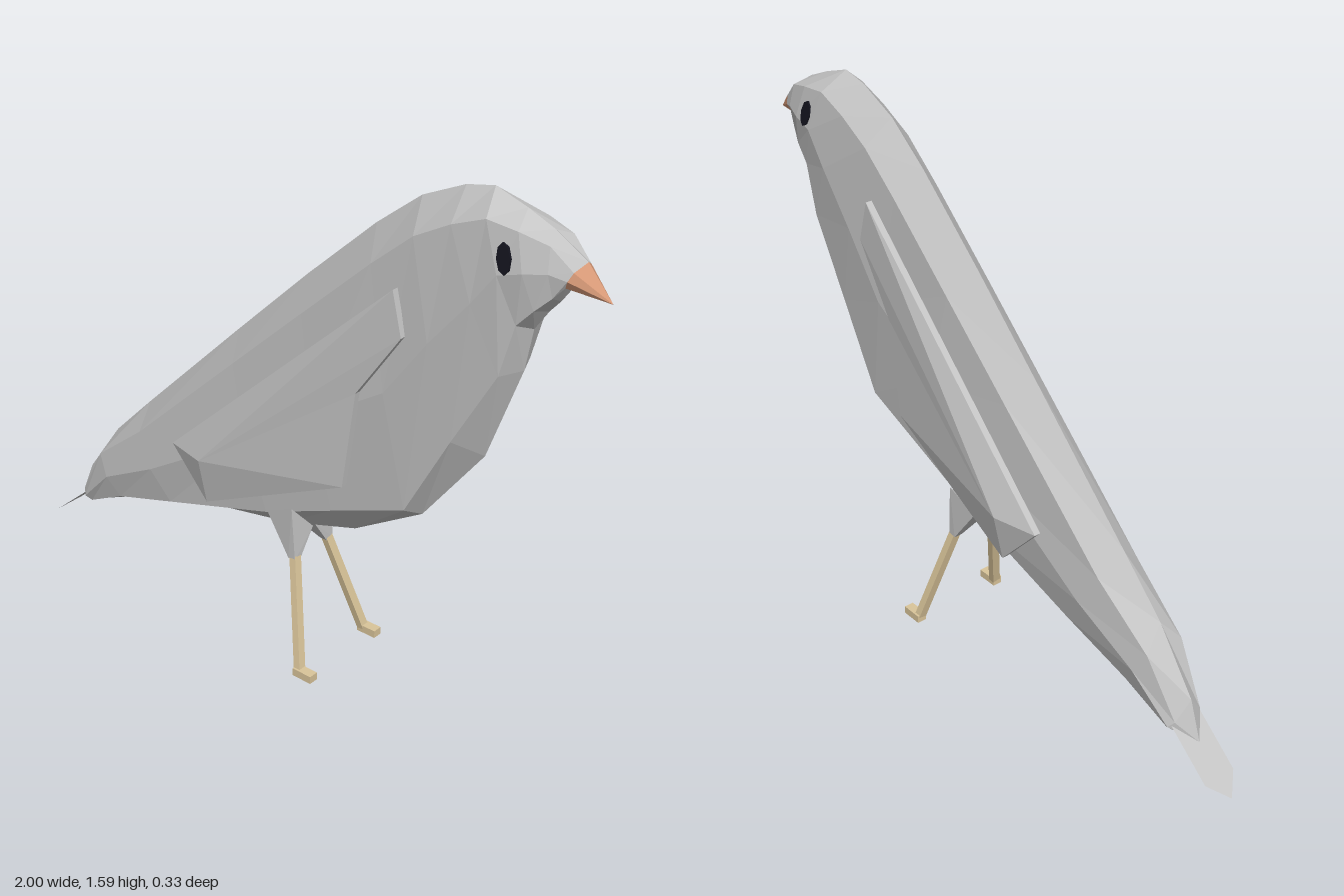
import * as THREE from 'three';
import { ConvexGeometry } from 'three/addons/geometries/ConvexGeometry.js';

const mat = (name, color, side = THREE.FrontSide) => {
  const m = new THREE.MeshStandardMaterial({ color, flatShading: true, side });
  m.name = name;
  return m;
};

// Faceted geometry from a list of triangles of [x, y, z] corners
function faceted(tris) {
  const same = (a, b) => a.every((v, i) => v === b[i]);
  const kept = tris.filter(([a, b, c]) => !same(a, b) && !same(b, c) && !same(c, a));
  const g = new THREE.BufferGeometry();
  g.setAttribute('position', new THREE.Float32BufferAttribute(kept.flat(2), 3));
  g.computeVertexNormals();
  return g;
}

// Skin a series of rings running towards +x
function loft(rings) {
  const tris = [];
  for (let i = 0; i < rings.length - 1; i++) {
    const a = rings[i], b = rings[i + 1];
    for (let j = 0; j < a.length; j++) {
      const k = (j + 1) % a.length;
      tris.push([a[j], a[k], b[j]], [b[j], a[k], b[k]]);
    }
  }
  return faceted(tris);
}

const flip = ([x, y, z]) => [x, y, -z];
const point = (x, y) => Array.from({ length: 8 }, () => [x, y, 0]);

// Eight-sided section: crown, shoulder, flank, lower edge and keel, mirrored in z.
// The flank lies halfway between shoulder and lower edge at the full half width w.
function section([w, crown, s, l, keel]) {
  const side = [
    [...s, 0.79 * w],
    [(s[0] + l[0]) / 2, (s[1] + l[1]) / 2, w],
    [...l, 0.77 * w],
  ];
  return [[...crown, 0], ...side, [...keel, 0], ...side.map(flip).reverse()];
}

// Half width, crown, shoulder, lower edge and keel from tail to beak
const bodySections = [
  [0.06, [-0.83, 0.26], [-0.82, 0.2], [-0.79, 0.165], [-0.77, 0.16]],
  [0.08, [-0.70, 0.44], [-0.72, 0.37], [-0.64, 0.245], [-0.62, 0.225]],
  [0.092, [-0.55, 0.59], [-0.53, 0.52], [-0.41, 0.32], [-0.47, 0.29]],
  [0.094, [-0.18, 0.95], [-0.14, 0.88], [-0.02, 0.44], [0, 0.38]],
  [0.095, [0.07, 1.19], [0.11, 1.11], [0.22, 0.54], [0.25, 0.46]],
  [0.095, [0.30, 1.40], [0.34, 1.32], [0.47, 0.64], [0.48, 0.60]],
  [0.095, [0.44, 1.51], [0.47, 1.43], [0.61, 0.90], [0.67, 0.85]],
  [0.092, [0.57, 1.57], [0.58, 1.49], [0.74, 1.13], [0.77, 1.13]],
  [0.09, [0.655, 1.588], [0.68, 1.53], [0.78, 1.28], [0.79, 1.25]],
  [0.085, [0.75, 1.556], [0.77, 1.52], [0.825, 1.33], [0.83, 1.31]],
  [0.066, [0.83, 1.522], [0.85, 1.50], [0.865, 1.37], [0.86, 1.345]],
  [0.048, [0.925, 1.465], [0.91, 1.445], [0.89, 1.40], [0.89, 1.39]],
].map(section);

// Thin wing with a bulge near its rear
function wingGeometry() {
  const rim = [
    [0.435, 1.285, 0.104], [-0.334, 0.577, 0.128], [-0.2, 0.43, 0.13],
    [0.29, 0.66, 0.113], [0.33, 0.96, 0.113], [0.467, 1.16, 0.106],
  ];
  const bulge = [-0.2, 0.58, 0.162];
  const inner = ([x, y, z]) => [x, y, z - 0.02];
  const tris = [];
  rim.forEach((p, i) => {
    const q = rim[(i + 1) % rim.length];
    const pi = inner(p), qi = inner(q);
    tris.push([bulge, p, q], [inner(bulge), qi, pi], [p, pi, qi], [p, qi, q]);
  });
  return faceted(tris);
}

export function createModel() {
  const bird = new THREE.Group();
  bird.name = 'bird';
  const grey = mat('plumage grey', 0xc4c4c4);
  const tailGrey = mat('tail grey', 0xc4c4c4, THREE.DoubleSide);
  const orange = mat('beak orange', 0xd89a78);
  const tan = mat('leg tan', 0xdac59a);
  const black = mat('eye black', 0x14141e);

  const add = (parent, name, geometry, material) => {
    const mesh = new THREE.Mesh(geometry, material);
    mesh.name = name;
    parent.add(mesh);
    return mesh;
  };

  add(bird, 'body', loft([point(-0.87, 0.14), ...bodySections]), grey);
  add(bird, 'beak', loft([bodySections.at(-1), point(1, 1.378)]), orange);

  // Flat tail feather sloping down behind the body
  const a = [-0.80, 0.20, 0.053], b = [-0.95, 0.072, 0.053], tip = [-1, 0.033, 0];
  add(bird, 'tail', faceted([[a, flip(a), b], [b, flip(a), flip(b)], [b, flip(b), tip]]), tailGrey);

  // Paired parts
  for (const side of [1, -1]) {
    const half = new THREE.Group();
    half.name = side > 0 ? 'rightSide' : 'leftSide';
    half.scale.z = side;
    bird.add(half);

    add(half, 'wing', wingGeometry(), grey);

    const eye = add(half, 'eye', new THREE.CylinderGeometry(1, 1, 0.009, 8).rotateX(Math.PI / 2)
      .scale(0.02, 0.04, 1), black);
    eye.position.set(0.745, 1.45, 0.0835);
    eye.rotation.set(-0.16, 0, 0.2);

    // Feathered thigh narrowing to the leg
    const thigh = [
      [-0.01, 0.45, 0.078], [0.09, 0.50, 0.088], [0.1, 0.41, 0.005], [0.03, 0.40, 0.005],
      [0.075, 0.33, 0.058], [0.1, 0.33, 0.058], [0.1, 0.33, 0.085], [0.075, 0.33, 0.085],
    ].map((p) => new THREE.Vector3(...p));
    add(half, 'thigh', new ConvexGeometry(thigh), grey);

    // Splayed leg and small foot
    const top = new THREE.Vector3(0.087, 0.345, 0.069), ankle = new THREE.Vector3(0.172, 0.012, 0.147);
    const dir = ankle.clone().sub(top);
    const leg = add(half, 'leg', new THREE.BoxGeometry(0.022, dir.length(), 0.026), tan);
    leg.position.copy(top).add(ankle).multiplyScalar(0.5);
    leg.quaternion.setFromUnitVectors(new THREE.Vector3(0, -1, 0), dir.normalize());
    add(half, 'foot', new THREE.BoxGeometry(0.066, 0.024, 0.03), tan).position.set(0.193, 0.012, 0.149);
  }
  return bird;
}
